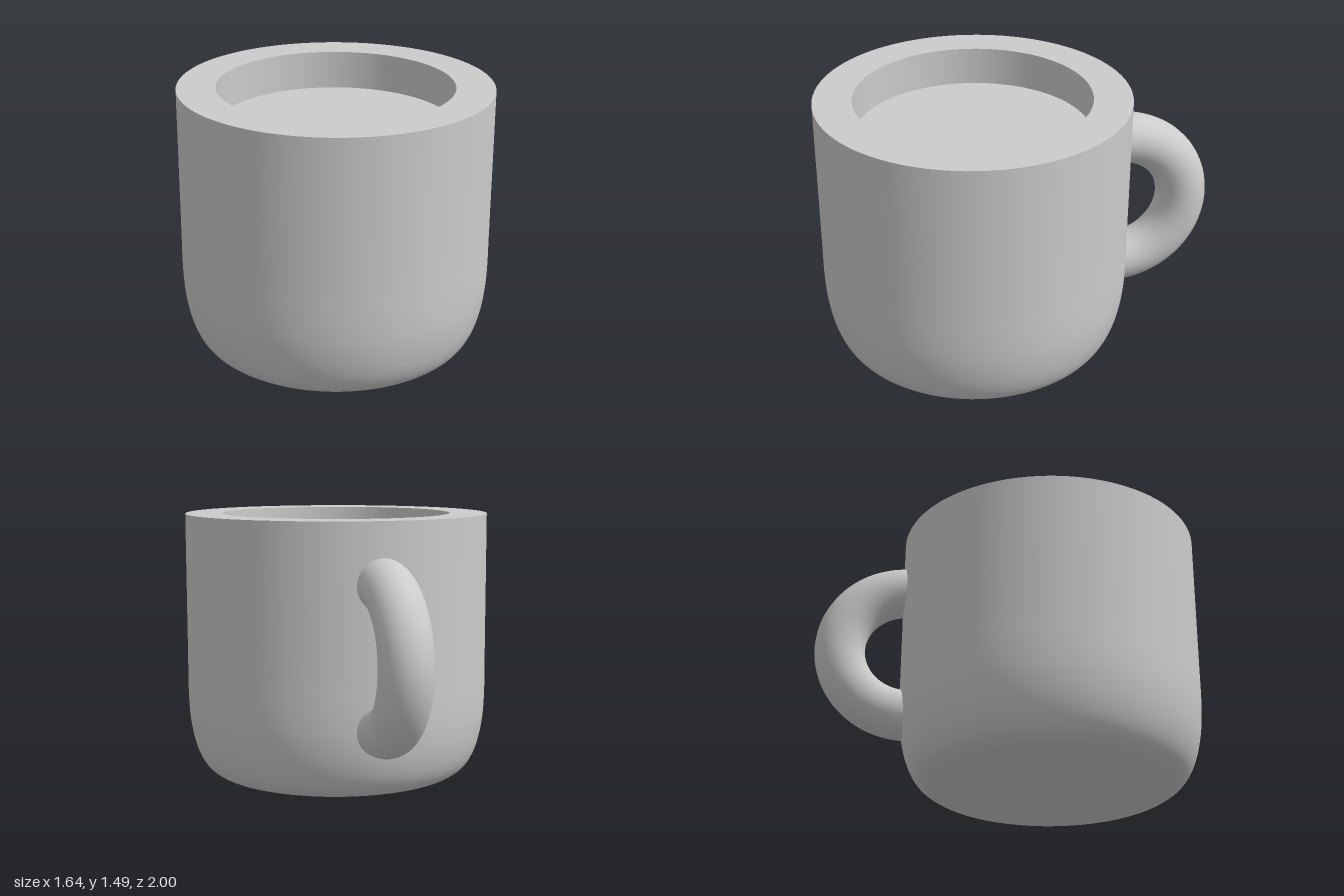
import * as THREE from 'three';

const material = new THREE.MeshStandardMaterial({ color: 0xcccccc });
const R = 0.817, INNER = 0.615, TOP = 1.49, FLOOR = 1.285;
const v = (x, y) => new THREE.Vector2(x, y);

// Each surface is turned separately so that the edges between them stay sharp.
function turned(name, points) {
  const mesh = new THREE.Mesh(new THREE.LatheGeometry(points, 96), material);
  mesh.name = name;
  return mesh;
}

export function createModel() {
  const model = new THREE.Group();
  model.name = 'mug';

  const cup = new THREE.Group();
  cup.name = 'cup';
  cup.position.z = 0.18;
  model.add(cup);

  // Gently domed base, rounded lower corner and straight wall
  const base = new THREE.SplineCurve([
    v(0, 0), v(0.3, 0.013), v(0.6, 0.058), v(0.69, 0.09), v(0.745, 0.15),
    v(0.785, 0.25), v(0.809, 0.38), v(R, 0.52), v(R, 0.7),
  ]).getPoints(48);
  cup.add(turned('outerWall', [...base, v(R, TOP)]));
  cup.add(turned('rim', [v(R, TOP), v(INNER, TOP)]));
  cup.add(turned('innerWall', [v(INNER, TOP), v(INNER, FLOOR)]));
  cup.add(turned('drinkSurface', [v(INNER, FLOOR), v(0, FLOOR)]));

  // Ring handle, its ends buried in the wall, pointing back and to the left
  const arc = Math.PI * 1.16;
  const ring = new THREE.TorusGeometry(0.367, 0.136, 32, 64, arc);
  ring.rotateZ(-arc / 2);
  ring.translate(0.783, 0.807, 0);
  const handle = new THREE.Mesh(ring, material);
  handle.name = 'handle';
  handle.rotation.y = THREE.MathUtils.degToRad(90 - 24.8);
  cup.add(handle);

  return model;
}
